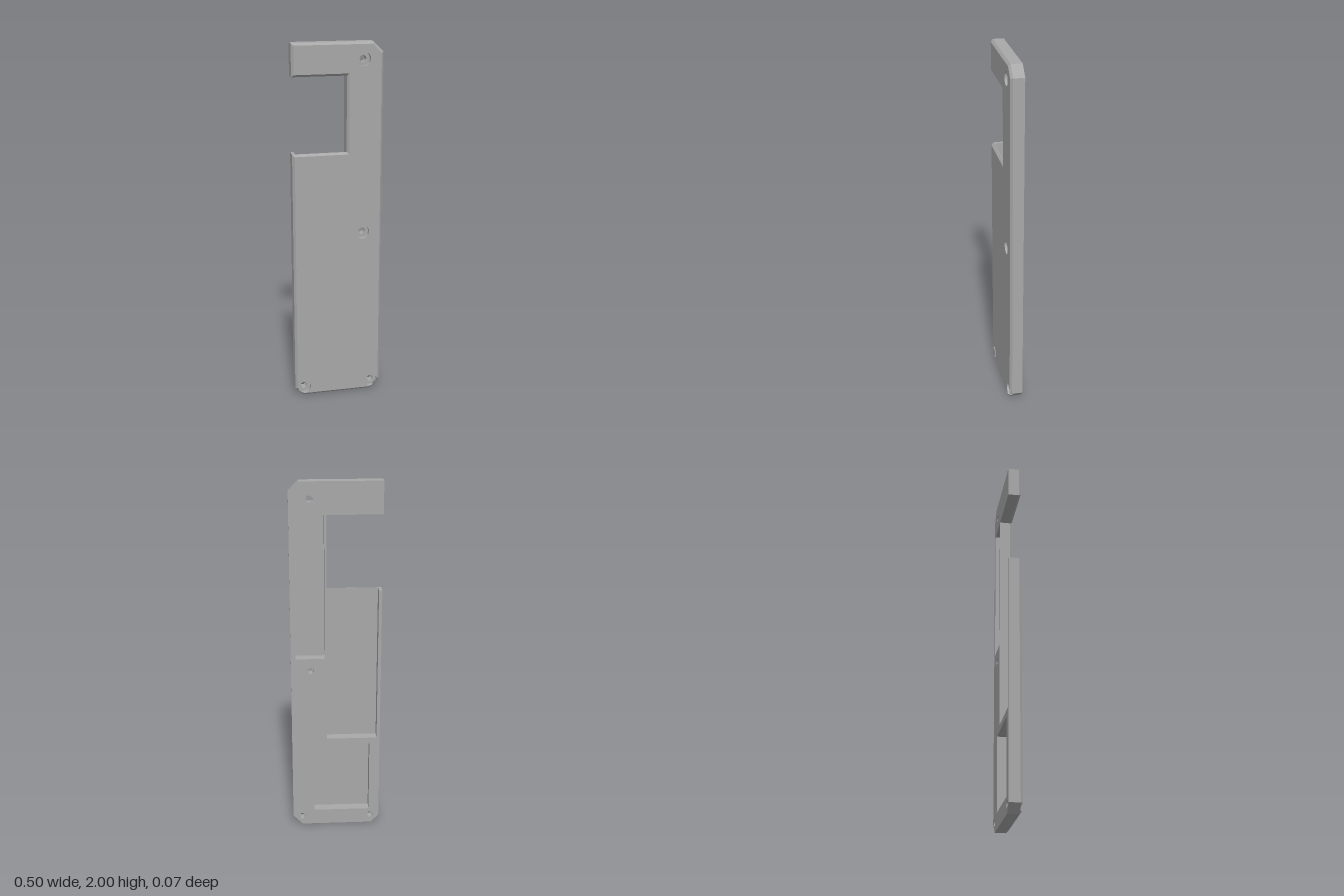
import * as THREE from 'three';

const BACK = -0.037, BORE = 0.01, FLOOR = 0.02, RIM = 0.023, FRONT = 0.035, BEVEL = 0.012;
const SMALL = 0.018, LARGE = 0.037;
const V = (x, y) => new THREE.Vector2(x, y);

// Screw positions: the first two sit beside the bottom chamfers, the others in the plate
const cornerScrews = [V(-0.197, 0.051), V(0.196, 0.052)];
const innerScrews = [V(0.14, 0.96), V(0.14, 1.91)];

const rect = (x0, y0, x1, y1) => [V(x0, y0), V(x1, y0), V(x1, y1), V(x0, y1)];
const closedPockets = [rect(0.062, 1.03, 0.222, 1.827), rect(-0.19, 0.09, 0.127, 0.51)];
const openPocket = rect(-0.23, 0.546, 0.05, 1.415);

function circle(c, r, n = 40) {
  return Array.from({ length: n }, (_, i) => {
    const a = (i / n) * Math.PI * 2;
    return V(c.x + r * Math.cos(a), c.y + r * Math.sin(a));
  });
}

// Anticlockwise outline with the side notch; optionally with the open pocket cut into it
function baseOutline(withPocket) {
  return [
    V(-0.248, 0.045), V(-0.203, 0), V(0.193, 0), V(0.248, 0.055),
    V(0.248, 1.945), V(0.193, 2), V(-0.248, 2), V(-0.248, 1.825),
    V(0.05, 1.825), V(0.05, 1.415),
    ...(withPocket ? [V(0.05, 0.546), V(-0.23, 0.546), V(-0.23, 1.415)] : []),
    V(-0.248, 1.415),
  ];
}

// Mitred inset of a closed anticlockwise loop
function inset(pts, d) {
  const n = pts.length;
  const normal = (a, b) => V(a.y - b.y, b.x - a.x).normalize();
  return pts.map((p, i) => {
    const n1 = normal(pts[(i + n - 1) % n], p), n2 = normal(p, pts[(i + 1) % n]);
    return p.clone().addScaledVector(n1.clone().add(n2), d / (1 + n1.dot(n2)));
  });
}

// Part of a counterbore circle lying inside a straight edge from a to b, and its mouth on the edge
function bite(c, a, b, n = 40) {
  const dir = b.clone().sub(a).normalize();
  const out = V(dir.y, -dir.x);
  const dist = a.clone().sub(c).dot(out);
  const half = Math.acos(Math.min(1, dist / LARGE));
  const phi = Math.atan2(out.y, out.x);
  const arc = Array.from({ length: n + 1 }, (_, i) => {
    const t = phi - half - (i / n) * (2 * Math.PI - 2 * half);
    return V(c.x + LARGE * Math.cos(t), c.y + LARGE * Math.sin(t));
  });
  const h = LARGE * Math.sin(half);
  const mouth = s => c.clone().addScaledVector(out, dist).addScaledVector(dir, s * h);
  return { arc, all: [mouth(-1), ...arc, mouth(1)] };
}

// Outline at a given inset with the corner counterbores breaking through the chamfers
function bittenOutline(withPocket, d) {
  const p = inset(baseOutline(withPocket), d);
  return [
    p[0], ...bite(cornerScrews[0], p[0], p[1]).all, p[1],
    p[2], ...bite(cornerScrews[1], p[2], p[3]).all, ...p.slice(3),
  ];
}

// Collects walls and flat caps into one surface
class Surface {
  constructor() { this.pos = []; }
  wall(a, za, b, zb) {
    for (let i = 0; i < a.length; i++) {
      const j = (i + 1) % a.length;
      this.pos.push(
        a[i].x, a[i].y, za, a[j].x, a[j].y, za, b[j].x, b[j].y, zb,
        a[i].x, a[i].y, za, b[j].x, b[j].y, zb, b[i].x, b[i].y, zb);
    }
  }
  // Wall of an opening, facing inwards
  hole(loop, z0, z1) {
    const r = [...loop].reverse();
    this.wall(r, z0, r, z1);
  }
  cap(loop, holes, z, facesFront) {
    const shape = new THREE.Shape(loop);
    shape.holes = holes.map(h => new THREE.Path(h));
    const g = new THREE.ShapeGeometry(shape);
    const p = g.attributes.position, idx = g.index.array;
    for (let i = 0; i < idx.length; i += 3) {
      const tri = facesFront ? [0, 1, 2] : [0, 2, 1];
      for (const k of tri) this.pos.push(p.getX(idx[i + k]), p.getY(idx[i + k]), z);
    }
  }
  mesh(name, material) {
    const g = new THREE.BufferGeometry();
    g.setAttribute('position', new THREE.Float32BufferAttribute(this.pos, 3));
    g.computeVertexNormals();
    const m = new THREE.Mesh(g, material);
    m.name = name;
    return m;
  }
}

export function createModel() {
  const grey = new THREE.MeshStandardMaterial({ color: 0xa8a8a8 });
  grey.name = 'plainGrey';
  const group = new THREE.Group();
  group.name = 'coverPlate';
  const screws = [...cornerScrews, ...innerScrews];

  // Rear frame with its outer walls
  const frame = new Surface();
  const frameLoop = baseOutline(true), frameBitten = bittenOutline(true, 0);
  frame.cap(frameLoop, [...closedPockets, ...screws.map(s => circle(s, SMALL))], BACK, false);
  frame.wall(frameLoop, BACK, frameLoop, BORE);
  frame.wall(frameBitten, BORE, frameBitten, FLOOR);
  group.add(frame.mesh('rearFrame', grey));

  // Recessed pockets in the back
  const pockets = new Surface();
  for (const p of closedPockets) pockets.hole(p, BACK, FLOOR);
  for (const p of [...closedPockets, openPocket]) pockets.cap(p, [], FLOOR, false);
  group.add(pockets.mesh('rearPockets', grey));

  // Front plate with bevelled rim
  const plate = new Surface();
  const rim = bittenOutline(false, 0);
  plate.wall(rim, FLOOR, rim, RIM);
  const steps = 4;
  for (let i = 0; i < steps; i++) {
    const t0 = i / steps, t1 = (i + 1) / steps;
    plate.wall(
      bittenOutline(false, BEVEL * t0), RIM + (FRONT - RIM) * t0,
      bittenOutline(false, BEVEL * t1), RIM + (FRONT - RIM) * t1);
  }
  plate.cap(bittenOutline(false, BEVEL), innerScrews.map(s => circle(s, LARGE)), FRONT, true);
  group.add(plate.mesh('frontPlate', grey));

  // Counterbored screw holes
  const bores = new Surface();
  for (const s of screws) bores.hole(circle(s, SMALL), BACK, BORE);
  for (const s of innerScrews) {
    bores.hole(circle(s, LARGE), BORE, FRONT);
    bores.cap(circle(s, LARGE), [circle(s, SMALL)], BORE, true);
  }
  cornerScrews.forEach((s, i) => {
    const seat = bite(s, frameLoop[2 * i], frameLoop[2 * i + 1]).arc;
    bores.cap(seat.slice(0, -1).reverse(), [circle(s, SMALL)], BORE, true);
  });
  group.add(bores.mesh('screwHoles', grey));

  return group;
}
